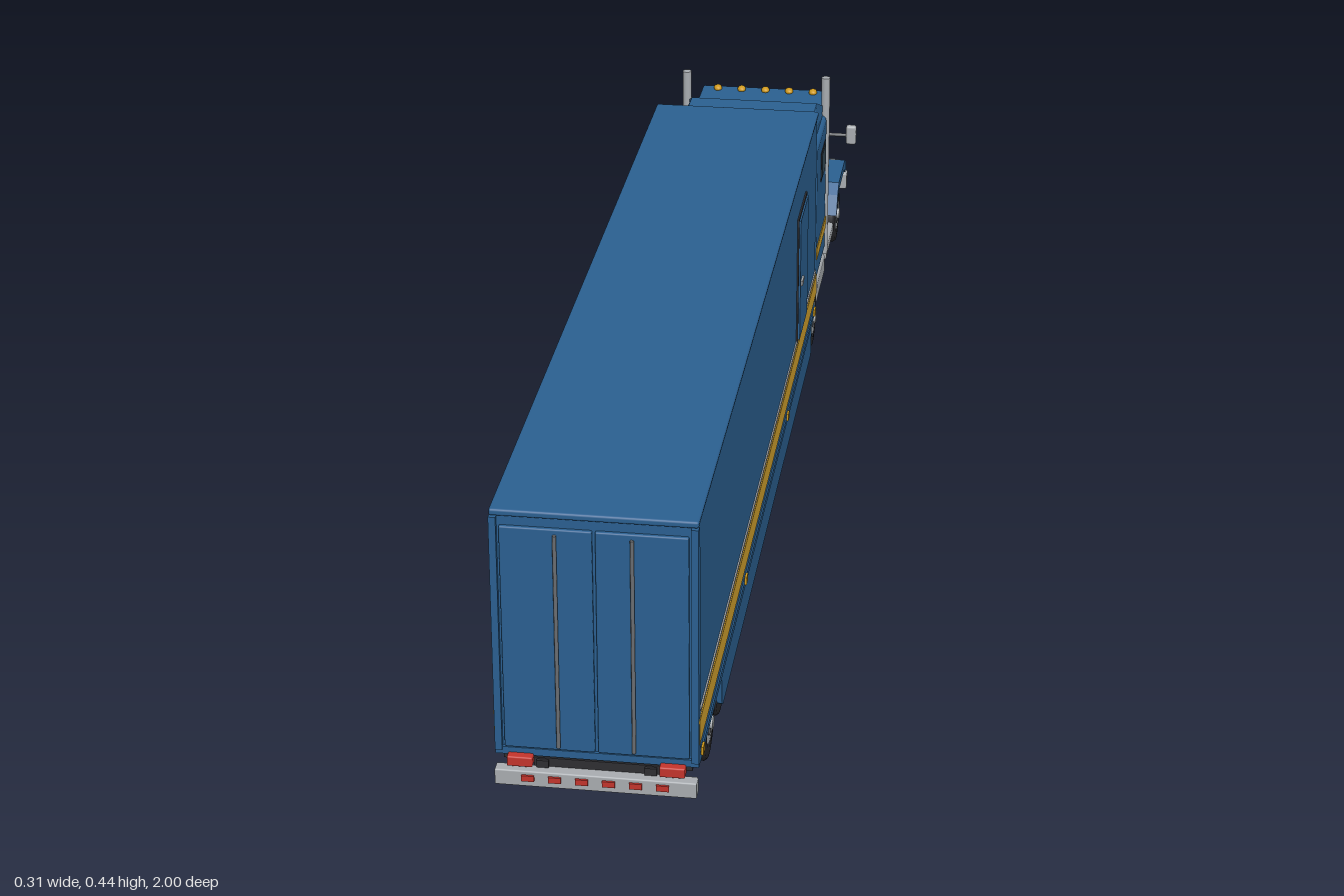
import * as THREE from 'three';
import { RoundedBoxGeometry } from 'three/addons/geometries/RoundedBoxGeometry.js';

const mat = (name, color, extra = {}) => Object.assign(new THREE.MeshStandardMaterial({ color, ...extra }), { name });

export function createModel() {
  const blue = mat('blue paint', 0x2b6091);
  const yellow = mat('yellow stripe', 0xd6a52f);
  const amber = mat('amber lamp', 0xd09a1c);
  const red = mat('red lamp', 0xc4342c);
  const metal = mat('bright metal', 0xa9adb1);
  const steel = mat('grey steel', 0x6c6f73);
  const dark = mat('dark frame', 0x2e2e32);
  const rubber = mat('tyre rubber', 0x29292c);
  const glass = mat('window glass', 0x364a56);

  const model = new THREE.Group();
  model.name = 'articulatedTruck';
  const trailer = new THREE.Group();
  trailer.name = 'trailer';
  const tractor = new THREE.Group();
  tractor.name = 'tractor';
  model.add(trailer, tractor);

  const add = (parent, name, geo, material) => {
    const m = new THREE.Mesh(geo, material);
    m.name = name;
    parent.add(m);
    return m;
  };
  // Box given by its limits; r > 0 rounds the edges
  const box = (parent, name, material, x0, x1, y0, y1, z0, z1, r = 0) => {
    const w = Math.abs(x1 - x0), h = y1 - y0, d = z1 - z0;
    const geo = r ? new RoundedBoxGeometry(w, h, d, 2, r) : new THREE.BoxGeometry(w, h, d);
    const m = add(parent, name, geo, material);
    m.position.set((x0 + x1) / 2, (y0 + y1) / 2, (z0 + z1) / 2);
    return m;
  };
  // Side profile of [z, y] points extruded from x0 to x1
  const sideProfile = (parent, name, material, pts, x0, x1) => {
    const shape = new THREE.Shape(pts.map(([z, y]) => new THREE.Vector2(-z, y)));
    const geo = new THREE.ExtrudeGeometry(shape, { depth: x1 - x0, bevelEnabled: false });
    geo.rotateY(Math.PI / 2).translate(x0, 0, 0);
    return add(parent, name, geo, material);
  };
  const cylX = (parent, name, material, r, x0, x1, y, z, n = 24) => {
    const m = add(parent, name, new THREE.CylinderGeometry(r, r, Math.abs(x1 - x0), n), material);
    m.rotation.z = Math.PI / 2;
    m.position.set((x0 + x1) / 2, y, z);
    return m;
  };

  // Wheel: lathed tyre, metal rim and hub on the outer face
  const R = 0.05;
  const tyre = (parent, s, xIn, xOut, z) => {
    const w = xOut - xIn, h = w / 2;
    const pts = [[0.001, -h], [0.04, -h], [R - 0.003, -h + 0.001], [R, -h + 0.005], [R, h - 0.005],
      [R - 0.003, h - 0.001], [0.033, h], [0.03, h - 0.004], [0.001, h - 0.004]];
    const geo = new THREE.LatheGeometry(pts.map(p => new THREE.Vector2(...p)), 28);
    const m = add(parent, 'tyre', geo, rubber);
    m.rotation.z = -s * Math.PI / 2;
    m.position.set(s * (xIn + w / 2), R, z);
  };
  const wheelSet = (parent, name, z, dual) => {
    const g = new THREE.Group();
    g.name = name;
    parent.add(g);
    cylX(g, 'axle', dark, 0.01, -0.08, 0.08, R, z, 12);
    for (const s of [-1, 1]) {
      const out = dual ? 0.117 : 0.112;
      if (dual) tyre(g, s, 0.065, 0.09, z);
      tyre(g, s, dual ? 0.092 : 0.084, out, z);
      cylX(g, 'rim', metal, 0.029, s * (out - 0.006), s * (out - 0.001), R, z);
      cylX(g, 'rimCentre', steel, 0.017, s * (out - 0.002), s * out, R, z);
      cylX(g, 'hub', metal, 0.009, s * (out - 0.002), s * (out + 0.004), R, z, 12);
    }
  };

  // ---- Trailer ----
  box(trailer, 'trailerBody', blue, -0.125, 0.125, 0.094, 0.43, -0.373, 0.978);
  box(trailer, 'roofCap', blue, -0.127, 0.127, 0.426, 0.435, -0.375, 0.982, 0.003);
  box(trailer, 'lowerRail', blue, -0.127, 0.127, 0.094, 0.104, -0.374, 0.982);
  box(trailer, 'trailerFloor', dark, -0.118, 0.118, 0.084, 0.094, -0.365, 0.975);
  for (const s of [-1, 1]) {
    box(trailer, 'frameRail', dark, s * 0.035, s * 0.055, 0.065, 0.084, 0.55, 0.97);
    box(trailer, 'sideStripe', yellow, s * 0.125, s * 0.128, 0.126, 0.16, -0.372, 0.98);
    box(trailer, 'stripeTrim', metal, s * 0.125, s * 0.127, 0.162, 0.166, -0.372, 0.98);
    for (const z of [0.957, 0.528, 0.03, -0.345])
      box(trailer, 'markerLamp', amber, s * 0.127, s * 0.13, 0.101, 0.112, z - 0.007, z + 0.007);
    // Side door
    box(trailer, 'sideDoorSeal', dark, s * 0.125, s * 0.1275, 0.163, 0.366, -0.216, -0.104);
    box(trailer, 'sideDoor', blue, s * 0.125, s * 0.13, 0.167, 0.362, -0.212, -0.108);
    box(trailer, 'doorHandle', metal, s * 0.13, s * 0.133, 0.254, 0.262, -0.134, -0.113);
    // Side skirt
    sideProfile(trailer, 'sideSkirt', blue, [[-0.335, 0.096], [-0.33, 0.042], [-0.325, 0.038], [0.74, 0.038],
      [0.75, 0.045], [0.756, 0.096]], s > 0 ? 0.118 : -0.125, s > 0 ? 0.125 : -0.118);
    // Rear doors, frame and locking rods
    box(trailer, 'rearDoor', blue, s * 0.002, s * 0.115, 0.105, 0.413, 0.976, 0.983, 0.002);
    box(trailer, 'cornerPost', blue, s * 0.118, s * 0.127, 0.1, 0.425, 0.97, 0.984);
    const rod = add(trailer, 'lockingRod', new THREE.CylinderGeometry(0.0025, 0.0025, 0.296, 8), steel);
    rod.position.set(s * 0.047, 0.258, 0.985);
    // Tail lamps and bumper brackets
    box(trailer, 'tailLamp', red, s * 0.079, s * 0.111, 0.083, 0.097, 0.975, 0.993, 0.002);
    box(trailer, 'bumperBracket', dark, s * 0.06, s * 0.075, 0.062, 0.09, 0.96, 0.986);
  }
  box(trailer, 'rearSill', dark, -0.079, 0.079, 0.08, 0.092, 0.965, 0.982);
  box(trailer, 'rearBumper', metal, -0.126, 0.126, 0.058, 0.08, 0.98, 0.997, 0.002);
  for (let i = 0; i < 6; i++) {
    const x = -0.084 + i * 0.0336;
    box(trailer, 'reflector', red, x - 0.008, x + 0.008, 0.067, 0.075, 0.996, 1);
  }
  wheelSet(trailer, 'trailerRearWheels', 0.805, true);
  wheelSet(trailer, 'trailerFrontWheels', 0.695, true);

  // ---- Tractor chassis ----
  box(tractor, 'chassis', dark, -0.07, 0.07, 0.08, 0.105, -0.965, -0.29);
  const plate = add(tractor, 'couplingPlate', new THREE.CylinderGeometry(0.055, 0.055, 0.008, 24), dark);
  plate.position.set(0, 0.088, -0.37);
  wheelSet(tractor, 'driveRearWheels', -0.34, true);
  wheelSet(tractor, 'driveFrontWheels', -0.447, true);
  wheelSet(tractor, 'steerWheels', -0.882, false);

  // ---- Sleeper, cab and hood ----
  box(tractor, 'sleeper', blue, -0.117, 0.117, 0.098, 0.337, -0.615, -0.465, 0.008);
  const roof = sideProfile(tractor, 'sleeperRoof', blue, [[-0.472, 0.335], [-0.475, 0.357], [-0.485, 0.365],
    [-0.59, 0.365], [-0.614, 0.352], [-0.616, 0.335]], -0.11, 0.11);
  const rp = roof.geometry.attributes.position;
  for (let i = 0; i < rp.count; i++) if (rp.getY(i) > 0.36) rp.setX(i, rp.getX(i) * 0.93);
  roof.geometry.computeVertexNormals();
  box(tractor, 'cab', blue, -0.106, 0.106, 0.105, 0.318, -0.755, -0.61, 0.006);
  box(tractor, 'sunVisor', blue, -0.107, 0.107, 0.312, 0.323, -0.762, -0.625, 0.004);
  box(tractor, 'hood', blue, -0.066, 0.066, 0.1, 0.2, -0.978, -0.75, 0.008);

  // Grille with vertical bars
  box(tractor, 'grilleSurround', metal, -0.057, 0.057, 0.103, 0.193, -0.982, -0.97);
  box(tractor, 'grilleBack', dark, -0.053, 0.053, 0.107, 0.189, -0.984, -0.98);
  for (let i = 0; i < 8; i++) {
    const x = -0.046 + i * 0.0131;
    box(tractor, 'grilleBar', metal, x - 0.002, x + 0.002, 0.107, 0.189, -0.987, -0.983);
  }
  box(tractor, 'frontBumper', metal, -0.118, 0.118, 0.055, 0.085, -1, -0.98, 0.003);

  // Roof marker lamps
  for (let i = -2; i <= 2; i++) {
    const lamp = add(tractor, 'roofLamp', new THREE.SphereGeometry(0.007, 10, 8), amber);
    lamp.scale.set(1, 0.8, 1.3);
    lamp.position.set(i * 0.04, 0.325, -0.745);
  }

  for (const s of [-1, 1]) {
    const lo = (a, b) => s > 0 ? [a, b] : [-b, -a];
    // Front fender, bent down at both ends
    sideProfile(tractor, 'frontFender', blue, [[-0.803, 0.078], [-0.82, 0.11], [-0.84, 0.125], [-0.945, 0.125],
      [-0.965, 0.115], [-0.97, 0.098], [-0.955, 0.098], [-0.94, 0.11], [-0.845, 0.11], [-0.828, 0.1], [-0.812, 0.078]],
      ...lo(0.06, 0.118));
    box(tractor, 'headlampPod', metal, s * 0.075, s * 0.105, 0.095, 0.114, -0.978, -0.955, 0.003);
    box(tractor, 'bumperMount', dark, s * 0.045, s * 0.06, 0.062, 0.085, -0.985, -0.95);
    box(tractor, 'hoodTrim', blue, s * 0.064, s * 0.068, 0.185, 0.189, -0.965, -0.76);

    // Windows and painted band
    box(tractor, 'windshield', glass, s * 0.004, s * 0.094, 0.225, 0.305, -0.758, -0.753);
    box(tractor, 'doorWindow', glass, s * 0.104, s * 0.108, 0.242, 0.308, -0.742, -0.657);
    box(tractor, 'cabDoor', blue, s * 0.104, s * 0.107, 0.12, 0.312, -0.748, -0.64);
    box(tractor, 'cabDoorHandle', metal, s * 0.107, s * 0.11, 0.218, 0.223, -0.665, -0.648);
    box(tractor, 'sleeperWindowFrame', dark, s * 0.115, s * 0.118, 0.254, 0.303, -0.59, -0.527);
    box(tractor, 'sleeperWindow', glass, s * 0.115, s * 0.119, 0.258, 0.299, -0.586, -0.531);
    box(tractor, 'sleeperStripe', yellow, s * 0.115, s * 0.1185, 0.14, 0.16, -0.609, -0.471);

    // Fuel tank and step
    box(tractor, 'fuelTank', metal, s * 0.065, s * 0.118, 0.055, 0.097, -0.61, -0.48, 0.008);
    box(tractor, 'cabStep', metal, s * 0.065, s * 0.118, 0.07, 0.092, -0.745, -0.63, 0.004);

    // Exhaust stack
    const pipe = add(tractor, 'exhaustStack', new THREE.CylinderGeometry(0.007, 0.007, 0.31, 14), metal);
    pipe.position.set(s * 0.114, 0.245, -0.618);

    // Mirror on its arm
    cylX(tractor, 'mirrorArm', steel, 0.003, s * 0.104, s * 0.142, 0.255, -0.735, 8);
    box(tractor, 'mirror', metal, s * 0.138, s * 0.155, 0.24, 0.273, -0.741, -0.729, 0.004);
  }
  return model;
}
